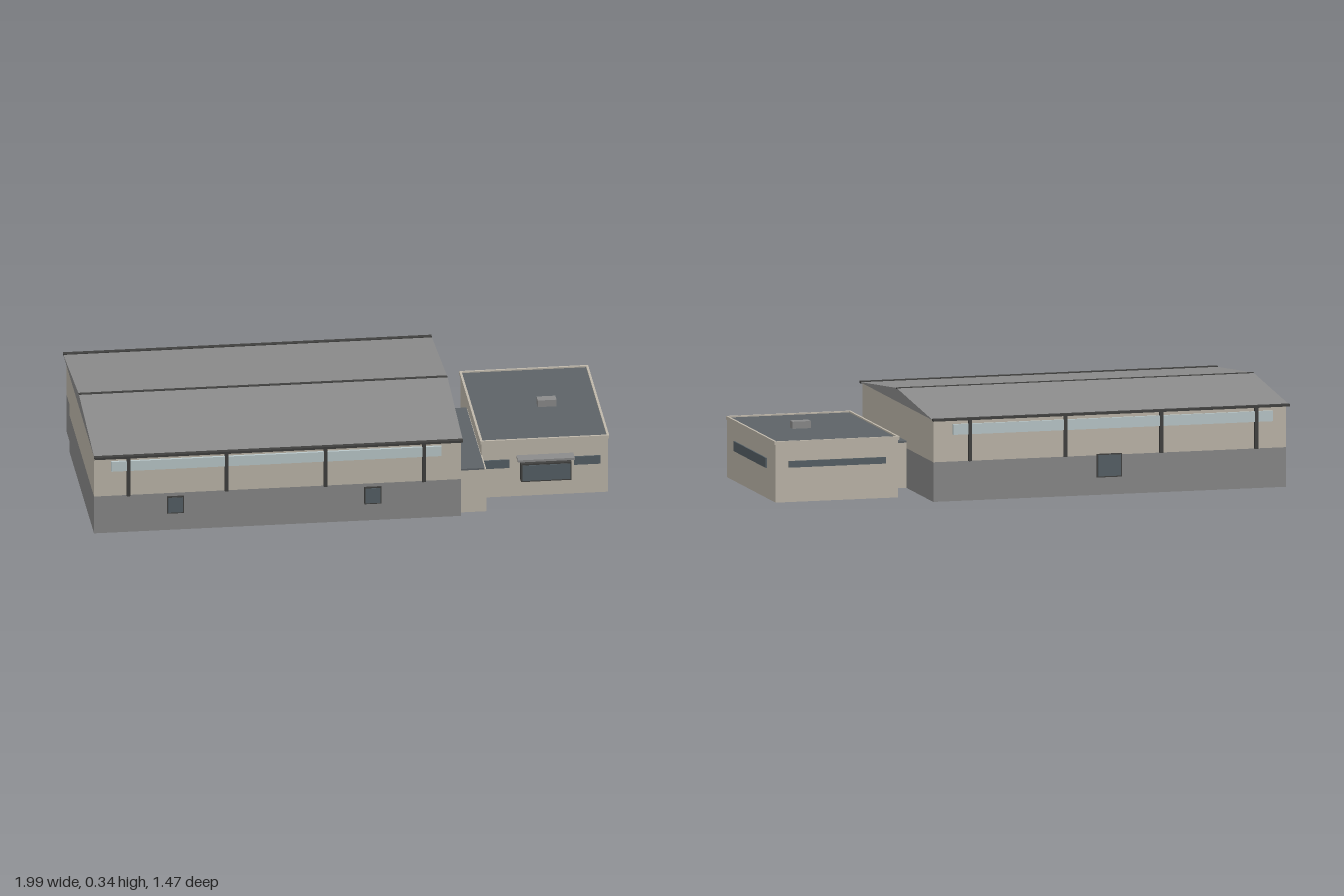
import * as THREE from 'three';

const mat = (name, color) => {
  const m = new THREE.MeshStandardMaterial({ color });
  m.name = name;
  return m;
};

export function createModel() {
  const beige = mat('beige wall', 0xbfb8ab);
  const grey = mat('grey plinth', 0x8a8a8a);
  const roofGrey = mat('roof grey', 0x8b8b8b);
  const slate = mat('slate flat roof', 0x5d6367);
  const dark = mat('dark trim', 0x40403e);
  const glass = mat('pale glass', 0xbccacc);
  const pane = mat('dark window', 0x566066);

  const model = new THREE.Group();
  model.name = 'sportsHall';

  // The whole building is turned on its plot; parts use the hall's own axes.
  const site = new THREE.Group();
  site.name = 'site';
  site.rotation.y = THREE.MathUtils.degToRad(-25.1);
  site.position.set(-0.21, 0, -0.045);
  model.add(site);

  // Box given by its extents along each axis
  const box = (name, m, x0, x1, y0, y1, z0, z1) => {
    const mesh = new THREE.Mesh(new THREE.BoxGeometry(x1 - x0, y1 - y0, z1 - z0), m);
    mesh.position.set((x0 + x1) / 2, (y0 + y1) / 2, (z0 + z1) / 2);
    mesh.name = name;
    site.add(mesh);
    return mesh;
  };

  // Hall walls: grey below, beige above, with a shallow step on the far gable
  const W = 0.45, EAVE = 0.29, RIDGE = 0.337, MID = 0.14;
  box('hallLowerWall', grey, -0.637, 0.643, 0, MID, -W, W);
  box('hallUpperWall', beige, -0.637, 0.643, MID, EAVE, -W, W);
  box('gableLowerPanel', grey, -0.648, -0.637, 0, MID, -0.27, W);
  box('gableUpperPanel', beige, -0.648, -0.637, MID, EAVE, -0.27, W);

  // Pitched roof as an extruded triangle
  const RZ = 0.464, RX = 0.648;
  const gable = new THREE.Shape();
  gable.moveTo(-RZ, EAVE);
  gable.lineTo(RZ, EAVE);
  gable.lineTo(0, RIDGE);
  gable.closePath();
  const roofGeo = new THREE.ExtrudeGeometry(gable, { depth: 2 * RX, bevelEnabled: false });
  roofGeo.translate(0, 0, -RX).rotateY(Math.PI / 2);
  const roof = new THREE.Mesh(roofGeo, roofGrey);
  roof.name = 'hallRoof';
  site.add(roof);
  box('ridgeCap', dark, -RX, RX, RIDGE - 0.004, RIDGE + 0.001, -0.007, 0.007);

  // Eaves, window band and posts on both long sides
  for (const s of [1, -1]) {
    const side = (name, m, x0, x1, y0, y1, d0, d1) =>
      box(name, m, x0, x1, y0, y1, Math.min(s * d0, s * d1), Math.max(s * d0, s * d1));
    side('eaveFascia', dark, -RX, RX, 0.286, 0.294, W, RZ + 0.004);
    side('clerestoryWindow', glass, -0.588, 0.573, 0.235, 0.272, W, W + 0.009);
    for (const x of [-0.528, -0.183, 0.165, 0.511])
      side('wallPost', dark, x - 0.006, x + 0.006, MID, 0.287, W, W + 0.012);
    const openings = s > 0 ? [[-0.392, -0.332, 0.064, 0.128], [0.302, 0.362, 0.064, 0.128]]
      : [[-0.04, 0.05, 0.062, 0.145]];
    for (const [x0, x1, y0, y1] of openings) {
      side('windowFrame', dark, x0, x1, y0, y1, W, W + 0.006);
      side('windowPane', pane, x0 + 0.004, x1 - 0.004, y0 + 0.004, y1 - 0.004, W + 0.001, W + 0.008);
    }
  }

  // Link between hall and annex
  box('linkWalls', beige, 0.64, 0.735, 0, 0.16, -0.11, 0.42);
  box('linkRoof', slate, 0.643, 0.729, 0.16, 0.166, -0.112, 0.422);

  // Annex with flat roof and parapet
  const A0 = 0.732, A1 = 1.177, B0 = -0.314, B1 = 0.3;
  box('annexWalls', beige, A0, A1, 0, 0.207, B0, B1);
  box('annexRoof', slate, A0, A1, 0.207, 0.211, B0, B1);
  const t = 0.008, o = 0.004;
  box('parapet', beige, A0 - o, A1 + o, 0.204, 0.216, B1 + o - t, B1 + o);
  box('parapet', beige, A0 - o, A1 + o, 0.204, 0.216, B0 - o, B0 - o + t);
  box('parapet', beige, A0 - o, A0 - o + t, 0.204, 0.216, B0, B1);
  box('parapet', beige, A1 + o - t, A1 + o, 0.204, 0.216, B0, B1);
  box('roofVent', roofGrey, 0.964, 1.03, 0.21, 0.236, -0.018, 0.018);

  // Annex windows
  box('frontWindowRight', pane, 0.738, 0.831, 0.11, 0.141, B1, B1 + 0.005);
  box('frontWindowLeft', pane, 1.057, 1.151, 0.11, 0.141, B1, B1 + 0.005);
  box('sideWindow', pane, A1, A1 + 0.005, 0.107, 0.142, -0.207, 0.2);
  box('backWindow', pane, 0.778, 1.13, 0.122, 0.145, B0 - 0.005, B0);

  // Bay window with frame and canopy
  box('bayFrame', dark, 0.868, 1.046, 0.064, 0.132, B1, B1 + 0.028);
  box('bayPane', pane, 0.873, 1.041, 0.069, 0.127, B1, B1 + 0.031);
  box('canopy', roofGrey, 0.855, 1.055, 0.147, 0.155, B1, 0.346);

  return model;
}
